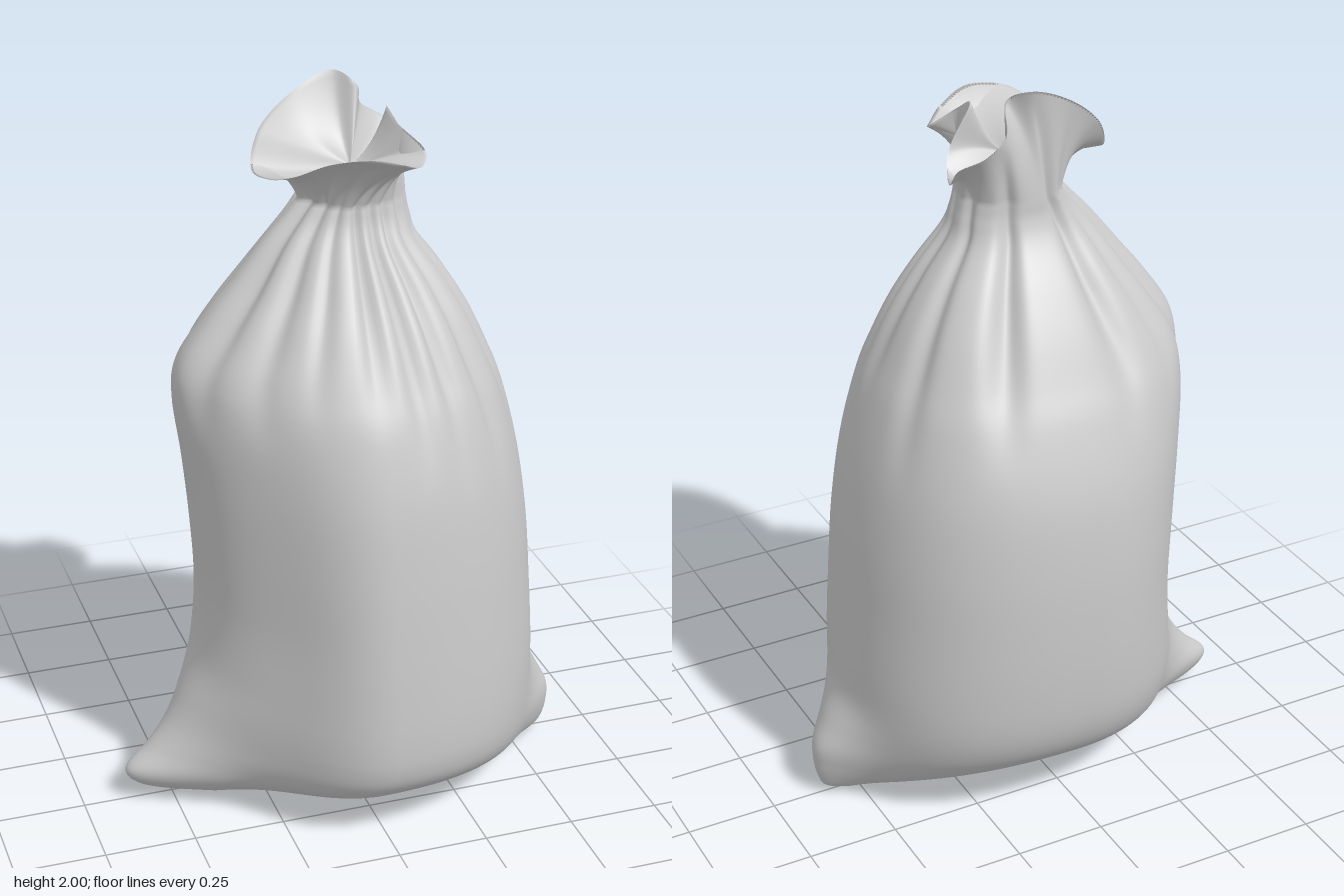
import * as THREE from 'three';

const { smoothstep, lerp } = THREE.MathUtils;
const TAU = Math.PI * 2;

// Sack outline by height: [y, left x, right x, front z, back z, corner at -x, corner at +x]
const ROWS = [
  [0.00, -0.36, 0.47, 0, 0, 0.03, 0.07],
  [0.008, -0.38, 0.48, 0.13, -0.10, 0.05, 0.085],
  [0.025, -0.40, 0.50, 0.235, -0.17, 0.12, 0.10],
  [0.055, -0.41, 0.51, 0.325, -0.235, 0.195, 0.105],
  [0.10, -0.415, 0.515, 0.40, -0.305, 0.213, 0.108],
  [0.16, -0.42, 0.52, 0.45, -0.37, 0.145, 0.10],
  [0.23, -0.42, 0.525, 0.473, -0.418, 0.09, 0.06],
  [0.32, -0.42, 0.53, 0.48, -0.45, 0.045, 0.012],
  [0.44, -0.41, 0.53, 0.478, -0.466, 0.008, 0],
  [0.60, -0.40, 0.52, 0.47, -0.475, 0, 0],
  [0.80, -0.41, 0.505, 0.455, -0.475, 0, 0],
  [1.00, -0.43, 0.475, 0.43, -0.455, 0, 0],
  [1.18, -0.455, 0.43, 0.385, -0.40, 0, 0],
  [1.29, -0.445, 0.388, 0.34, -0.348, 0, 0],
  [1.40, -0.375, 0.337, 0.285, -0.293, 0, 0],
  [1.50, -0.295, 0.275, 0.225, -0.233, 0, 0],
  [1.60, -0.215, 0.20, 0.163, -0.165, 0, 0],
  [1.66, -0.16, 0.18, 0.13, -0.14, 0, 0],
  [1.71, -0.115, 0.17, 0.115, -0.135, 0, 0],
];

// Gathered folds: [angle in degrees, depth, half width in degrees, lowest y]
const FOLDS = [
  [5, 0.06, 6, 1.1], [24, 0.06, 5, 1.0], [45, 0.08, 5, 0.9], [64, 0.10, 4, 0.95],
  [78, 0.11, 4, 1.0], [91, 0.12, 4, 1.15], [112, 0.07, 5, 1.15], [135, 0.10, 7, 1.1],
  [163, 0.14, 9, 1.05], [203, 0.13, 9, 1.05], [228, 0.05, 5, 1.1], [250, 0.15, 6, 1.1],
  [297, 0.15, 7, 1.05], [335, 0.08, 6, 0.95],
];

// Rim of the gathered mouth, [x, y, z]
const RIM = [
  [0.212, 1.76, -0.05], [0.185, 1.82, 0.01], [0.115, 1.94, 0.02], [0.125, 1.91, 0.07],
  [0.18, 1.85, 0.13], [0.15, 1.83, 0.19], [0.09, 1.855, 0.24], [0, 1.885, 0.265],
  [-0.10, 1.875, 0.23], [-0.17, 1.82, 0.14], [-0.205, 1.785, 0.04], [-0.225, 1.785, -0.05],
  [-0.19, 1.87, -0.10], [-0.10, 1.95, -0.12], [0.02, 2.0, -0.13], [0.07, 1.97, -0.085],
  [0.10, 1.90, -0.14], [0.16, 1.86, -0.155], [0.215, 1.82, -0.11],
].map((p) => new THREE.Vector3(...p));

// Closed rings joined from the bottom up; point(u, v) gives a position
function loft(point, rings, sides) {
  const pos = [], index = [];
  for (let j = 0; j <= rings; j++) {
    for (let i = 0; i < sides; i++) {
      pos.push(...point(i / sides, j / rings).toArray());
      if (j === rings) continue;
      const a = j * sides + i, b = j * sides + (i + 1) % sides;
      index.push(a, a + sides, b, b, a + sides, b + sides);
    }
  }
  const geo = new THREE.BufferGeometry();
  geo.setAttribute('position', new THREE.Float32BufferAttribute(pos, 3));
  geo.setIndex(index);
  geo.computeVertexNormals();
  return geo;
}

const track = (a, b) => new THREE.CatmullRomCurve3(
  ROWS.map((r) => new THREE.Vector3(r[a], r[0], r[b])), false, 'catmullrom');
const sideX = track(1, 2), sideZ = track(3, 4), corners = track(5, 6);

function foldScale(angle, y) {
  let s = 1;
  for (const [deg, depth, width, low] of FOLDS) {
    let d = Math.abs(angle * 360 / TAU - deg);
    d = Math.min(d, 360 - d) / width;
    s -= depth * Math.exp(-d * d) * smoothstep(y, low, 1.55);
  }
  return s;
}

function sackPoint(u, v) {
  const a = u * TAU, c = Math.cos(a), s = Math.sin(a);
  const X = sideX.getPoint(v), Z = sideZ.getPoint(v), E = corners.getPoint(v);
  // the front left is flatter and the back right fuller
  const diagonal = Math.sin(2 * a) ** 2;
  let full = 1;
  if (c < 0 && s > 0) full -= 0.1 * diagonal;
  if (c > 0 && s < 0) full += 0.04 * diagonal;
  const fold = foldScale(a, X.y) * full;
  const mx = (X.x + X.z) / 2;
  let x = c > 0 ? X.z * c ** 0.9 : -X.x * c;
  x = mx + (x - mx) * fold;
  const z = (s > 0 ? Z.x : -Z.z) * s * fold;
  // pulled out bottom corners
  const ear = Math.exp(-((s / 0.32) ** 2));
  x += c > 0 ? E.z * ear : -E.x * ear;
  // the bottom sags at the corners and lifts in the middle
  const lift = 0.04 * Math.max(0, 1 - ((x - 0.07) / 0.47) ** 2) * (1 - smoothstep(X.y, 0, 0.3));
  return new THREE.Vector3(x, Math.max(0, X.y) + lift, z);
}

const rimCurve = new THREE.CatmullRomCurve3(RIM, true, 'centripetal');
const mouthCentre = new THREE.Vector3(0.02, 1.79, 0.01);

// Cloth flares from the neck to the rim
function flarePoint(u, t) {
  const rim = rimCurve.getPoint((u + 0.042) % 1);
  const base = sackPoint(u, 1);
  const ctrl = base.clone().lerp(rim, 0.3);
  ctrl.y = Math.max(lerp(base.y, rim.y, 0.65), 1.8);
  return new THREE.QuadraticBezierCurve3(base, ctrl, rim).getPoint(t);
}

// Crumpled cloth dips from the rim to the middle of the mouth
function mouthPoint(u, t) {
  const rim = rimCurve.getPoint((u + 0.042) % 1);
  const ctrl = rim.clone().lerp(mouthCentre, 0.45);
  ctrl.y = lerp(rim.y, mouthCentre.y, 0.75) + 0.03 * Math.cos(5 * u * TAU);
  return new THREE.QuadraticBezierCurve3(rim, ctrl, mouthCentre).getPoint(t);
}

// Body, flared ruff and mouth are one continuous cloth
function clothPoint(u, v) {
  if (v <= 0.7) return sackPoint(u, v / 0.7);
  if (v <= 0.86) return flarePoint(u, (v - 0.7) / 0.16);
  return mouthPoint(u, (v - 0.86) / 0.14);
}

export function createModel() {
  const group = new THREE.Group();
  const cloth = new THREE.MeshStandardMaterial({ color: 0xcccccc, side: THREE.DoubleSide });
  const sack = new THREE.Mesh(loft(clothPoint, 150, 220), cloth);
  sack.name = 'tiedSack';
  group.add(sack);
  return group;
}
